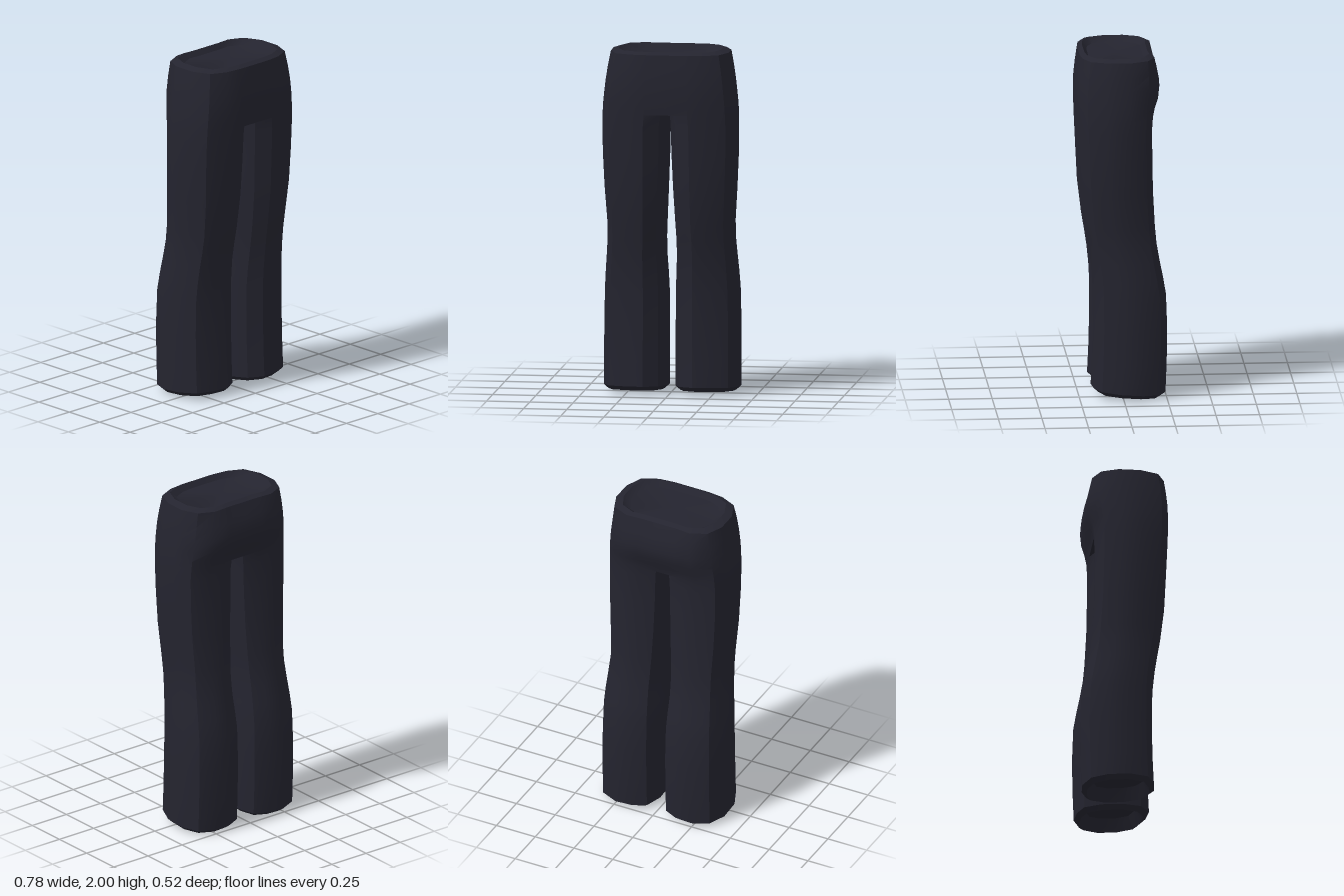
import * as THREE from 'three';
import { toCreasedNormals, mergeGeometries } from 'three/addons/utils/BufferGeometryUtils.js';

// Half-outline of one trouser leg, u: inner -1 to outer 1, v: back -1 to front 1
const FRONT = [[1, 0.25], [0.75, 0.75], [0.2, 0.95], [-0.35, 1]];
const INNER = [[-0.8, 0.75], [-1, 0.25], [-1, -0.35], [-0.8, -0.8]];
const BACK = [[-0.35, -0.97], [0.2, -1], [0.75, -0.8], [1, -0.35]];

// Rows from the crotch down: y, inner x, outer x, front z, back z
const LEG = [
  [1.64, 0, 0.385, 0.257, -0.175], [1.57, 0.008, 0.387, 0.254, -0.17],
  [1.4, 0.012, 0.385, 0.246, -0.171], [1.2, 0.02, 0.376, 0.236, -0.175],
  [1.0, 0.03, 0.363, 0.212, -0.186], [0.9, 0.035, 0.363, 0.195, -0.195],
  [0.8, 0.036, 0.37, 0.18, -0.212], [0.7, 0.031, 0.378, 0.17, -0.232],
  [0.6, 0.027, 0.384, 0.165, -0.249], [0.4, 0.025, 0.388, 0.165, -0.256],
  [0.2, 0.025, 0.389, 0.17, -0.253],
];
const HEM = [0.04, 0.025, 0.389, 0.177, -0.246];

// Rows from the waist down: y, outer x, front z, back z, seat bulge
const WAIST = [1.985, 0.34, 0.238, -0.185, 0];
const HIPS = [
  WAIST, [1.9, 0.356, 0.25, -0.182, 0.033], [1.82, 0.368, 0.258, -0.179, 0.052],
  [1.75, 0.376, 0.26, -0.177, 0.043], [1.69, 0.382, 0.259, -0.176, 0.014],
  [1.64, 0.385, 0.257, -0.175, 0],
];

function legRing([y, xi, xo, zf, zb], side, scale = 1, tilt = 0) {
  const pts = [...FRONT, ...INNER, ...BACK].map(([u, v]) => {
    const z = (zf + zb) / 2 + v * scale * (zf - zb) / 2;
    return new THREE.Vector3(side * ((xi + xo) / 2 + u * scale * (xo - xi) / 2), y + tilt * z, z);
  });
  return side > 0 ? pts : pts.reverse();
}

function hipRing([y, xo, zf, zb, bulge], scale = 1, dy = 0) {
  const right = [...FRONT, [-1, 1]], left = [[-1, -0.97], ...BACK];
  const half = (list, s) => list.map(([u, v]) => [s * (1 + u) / 2, v]);
  const outline = [
    ...half(right, 1), ...half(FRONT, -1).reverse(),
    ...half(BACK, -1).reverse(), ...half(left, 1),
  ];
  return outline.map(([t, v]) => {
    const z = (zf + zb) / 2 + v * scale * (zf - zb) / 2;
    const seat = v < 0 ? -bulge * (1 - t * t) : 0;
    return new THREE.Vector3(t * xo * scale, y + dy, z + seat);
  });
}

// Skins rings listed from top to bottom, with optional end caps
function loft(rings, capTop, capBottom) {
  const pos = [];
  const tri = (...p) => p.forEach((q) => pos.push(q.x, q.y, q.z));
  const n = rings[0].length;
  for (let i = 0; i < rings.length - 1; i++) {
    for (let j = 0; j < n; j++) {
      const k = (j + 1) % n;
      const a = rings[i][j], b = rings[i][k], c = rings[i + 1][k], d = rings[i + 1][j];
      tri(a, b, c);
      tri(a, c, d);
    }
  }
  const cap = (ring, up) => {
    const mid = new THREE.Vector3();
    ring.forEach((p) => mid.addScaledVector(p, 1 / n));
    ring.forEach((p, j) => {
      const q = ring[(j + 1) % n];
      if (up) tri(mid, q, p);
      else tri(mid, p, q);
    });
  };
  if (capTop) cap(rings[0], true);
  if (capBottom) cap(rings[rings.length - 1], false);
  const g = new THREE.BufferGeometry();
  g.setAttribute('position', new THREE.Float32BufferAttribute(pos, 3));
  return g;
}

export function createModel() {
  const group = new THREE.Group();
  group.name = 'trousers';
  const cloth = new THREE.MeshStandardMaterial({ color: 0x24242f });
  cloth.name = 'dark navy cloth';

  // Hips with a bevelled waistband around a shallow sunken top
  const hips = loft([
    hipRing(WAIST, 0.75, -0.015), hipRing(WAIST, 0.87, 0.015),
    ...HIPS.map((row) => hipRing(row)),
  ], true, true);

  // Legs with a sloping bevelled hem and a hollow cuff
  const legs = [1, -1].map((side) => loft([
    ...LEG.map((row) => legRing(row, side)),
    legRing(HEM, side, 1, 0.07),
    legRing([0.016, ...HEM.slice(1)], side, 0.86, 0.07),
    legRing([0.09, ...HEM.slice(1)], side, 0.68, 0.07),
  ], false, true));

  // One garment, so the cloth shades smoothly from hips into legs
  const mesh = new THREE.Mesh(toCreasedNormals(mergeGeometries([hips, ...legs]), 0.65), cloth);
  mesh.name = 'hipsAndLegs';
  group.add(mesh);
  return group;
}
